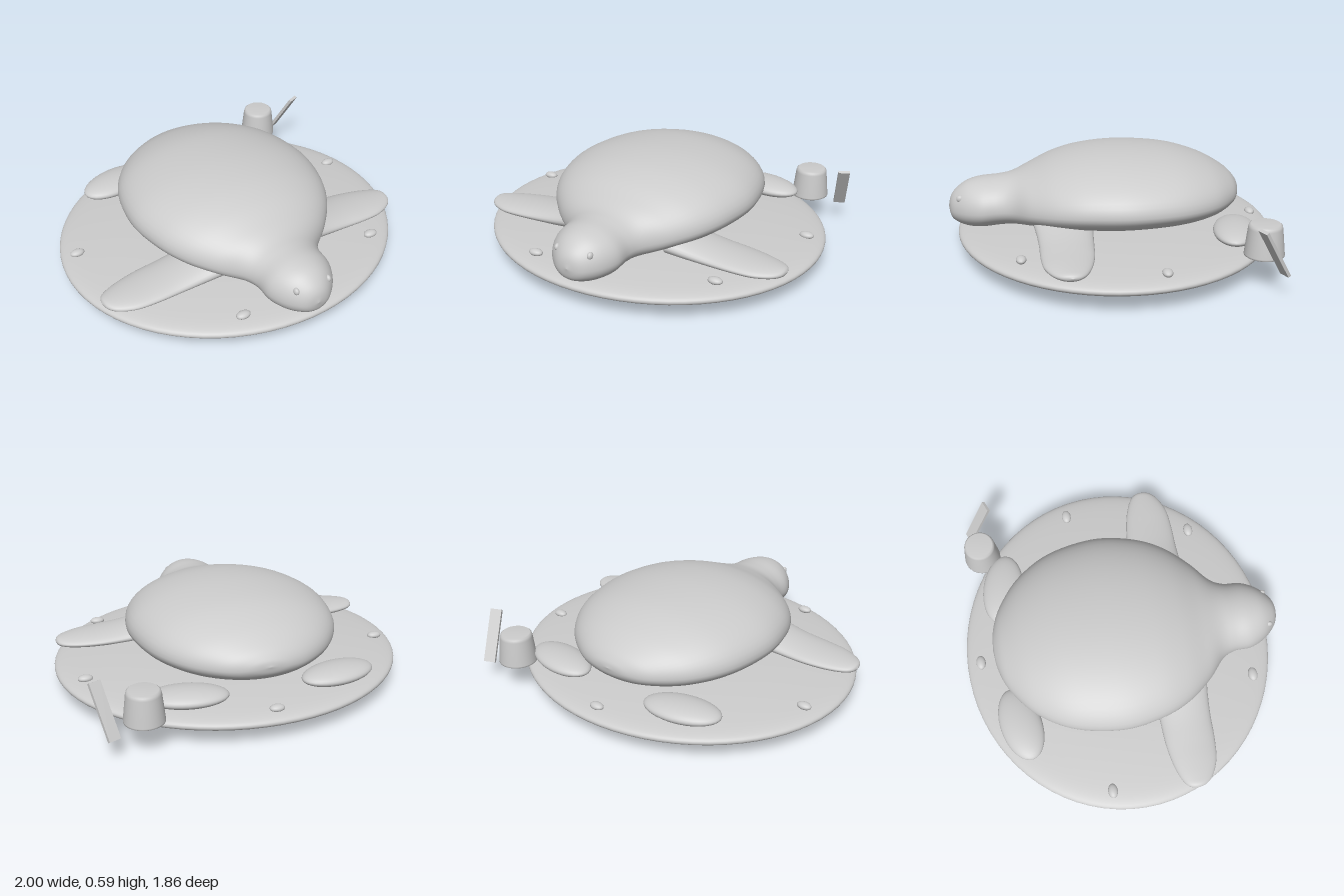
import * as THREE from 'three';

const material = new THREE.MeshStandardMaterial({ color: 0xcccccc });

function add(parent, name, geometry, x = 0, y = 0, z = 0) {
  const mesh = new THREE.Mesh(geometry, material);
  mesh.name = name;
  mesh.position.set(x, y, z);
  parent.add(mesh);
  return mesh;
}

// Smooth skin along z through oval sections [z, centreX, halfWidth, top, bottom]
function loft(sections, rings, sides, waist = 0.42) {
  const curve = (pick) => new THREE.CatmullRomCurve3(sections.map(pick), false, 'catmullrom', 0.5);
  const plan = curve(([z, c, w]) => new THREE.Vector3(z, c, w));
  const height = curve(([z, , , top, bottom]) => new THREE.Vector3(z, top, bottom));
  const positions = [], index = [];
  for (let i = 0; i <= rings; i++) {
    const p = plan.getPoint(i / rings), h = height.getPoint(i / rings);
    const mid = THREE.MathUtils.lerp(h.z, h.y, waist);
    for (let j = 0; j < sides; j++) {
      const a = (j / sides) * Math.PI * 2, s = Math.sin(a);
      positions.push(p.y + p.z * Math.cos(a), mid + s * (s > 0 ? h.y - mid : mid - h.z), p.x);
      if (i === rings) continue;
      const a0 = i * sides + j, b0 = i * sides + ((j + 1) % sides);
      index.push(a0, b0, a0 + sides, b0, b0 + sides, a0 + sides);
    }
  }
  const geometry = new THREE.BufferGeometry();
  geometry.setAttribute('position', new THREE.Float32BufferAttribute(positions, 3));
  geometry.setIndex(index);
  geometry.computeVertexNormals();
  return geometry;
}

export function createModel() {
  const model = new THREE.Group();
  model.name = 'turtleOnSandDisc';

  // Lens-shaped sand base, slightly shorter front to back
  const outline = new THREE.SplineCurve([
    [0, 0], [0.3, 0.008], [0.6, 0.032], [0.85, 0.066], [0.97, 0.094], [1, 0.12],
    [0.97, 0.145], [0.85, 0.165], [0.6, 0.187], [0.3, 0.2], [0, 0.205],
  ].map(([x, y]) => new THREE.Vector2(x, y))).getPoints(50);
  outline.forEach((p) => { p.x = Math.max(p.x, 0); });
  const base = add(model, 'sandBase', new THREE.LatheGeometry(outline, 72), 0, 0, -0.025);
  base.scale.z = 0.905;

  // Shell, neck and head as one continuous form
  add(model, 'shellAndHead', loft([
    [-0.75, 0, 0, 0.35, 0.35],
    [-0.735, 0, 0.125, 0.39, 0.3],
    [-0.68, 0, 0.26, 0.445, 0.255],
    [-0.55, 0, 0.42, 0.515, 0.215],
    [-0.35, 0, 0.54, 0.57, 0.19],
    [-0.08, 0, 0.59, 0.59, 0.18],
    [0.15, 0, 0.555, 0.577, 0.18],
    [0.32, 0, 0.48, 0.54, 0.18],
    [0.46, 0, 0.365, 0.485, 0.18],
    [0.56, 0, 0.25, 0.45, 0.17],
    [0.64, 0, 0.208, 0.438, 0.16],
    [0.74, 0, 0.2, 0.43, 0.15],
    [0.82, 0, 0.165, 0.41, 0.155],
    [0.88, 0, 0.115, 0.37, 0.175],
    [0.915, 0, 0.065, 0.325, 0.205],
    [0.93, 0, 0, 0.265, 0.265],
  ], 90, 56));

  for (const side of [1, -1]) {
    const label = side > 0 ? 'left' : 'right';

    // Long front flipper, lofted along z then turned sideways
    const flipper = add(model, label + 'FrontFlipper', loft([
      [0.3, 0.285, 0.17, 0.31, 0.17],
      [0.42, 0.285, 0.155, 0.275, 0.16],
      [0.55, 0.285, 0.147, 0.25, 0.155],
      [0.68, 0.288, 0.142, 0.235, 0.155],
      [0.8, 0.293, 0.125, 0.225, 0.155],
      [0.89, 0.29, 0.09, 0.216, 0.16],
      [0.935, 0.285, 0.05, 0.208, 0.17],
      [0.95, 0.28, 0, 0.19, 0.19],
    ].map(([s, c, ...rest]) => [s, -side * c, ...rest]), 40, 32, 0.5));
    flipper.rotation.y = side * Math.PI / 2;

    // Short oval rear flipper
    const rear = add(model, label + 'RearFlipper', new THREE.SphereGeometry(1, 36, 20), side * 0.425, 0.21, -0.655);
    rear.scale.set(0.22, 0.048, 0.12);
    rear.rotation.y = -side * 0.2;

    const eye = add(model, label + 'Eye', new THREE.SphereGeometry(0.021, 16, 12), side * 0.1, 0.335, 0.858);
    eye.scale.x = 0.75;
  }

  // Small shells scattered on the sand
  for (const [x, y, z] of [[0, 0.163, -0.845], [-0.885, 0.168, -0.195], [0.87, 0.168, -0.205],
    [0.65, 0.18, 0.53], [-0.34, 0.18, 0.73]]) {
    add(model, 'seashell', new THREE.SphereGeometry(1, 20, 12), x, y, z).scale.set(0.042, 0.02, 0.028);
  }

  // Upturned bucket with a softened top edge
  const bucket = [[0, 0], [0.102, 0], [0.108, 0.004], [0.108, 0.012], [0.092, 0.155], [0.088, 0.17], [0.078, 0.178], [0, 0.178]]
    .map(([x, y]) => new THREE.Vector2(x, y));
  add(model, 'bucket', new THREE.LatheGeometry(bucket, 40), 0.68, 0.163, -0.755);

  // Thin leaning spade
  const foot = new THREE.Vector3(0.85, 0.12, -0.825), tip = new THREE.Vector3(0.91, 0.385, -0.68);
  const long = tip.clone().sub(foot);
  const spade = add(model, 'spade', new THREE.BoxGeometry(0.068, long.length(), 0.018));
  spade.position.copy(foot).add(tip).multiplyScalar(0.5);
  long.normalize();
  const normal = new THREE.Vector3(0.07, 0, -0.03).cross(long).normalize();
  const across = long.clone().cross(normal);
  spade.quaternion.setFromRotationMatrix(new THREE.Matrix4().makeBasis(across, long, normal));

  return model;
}
